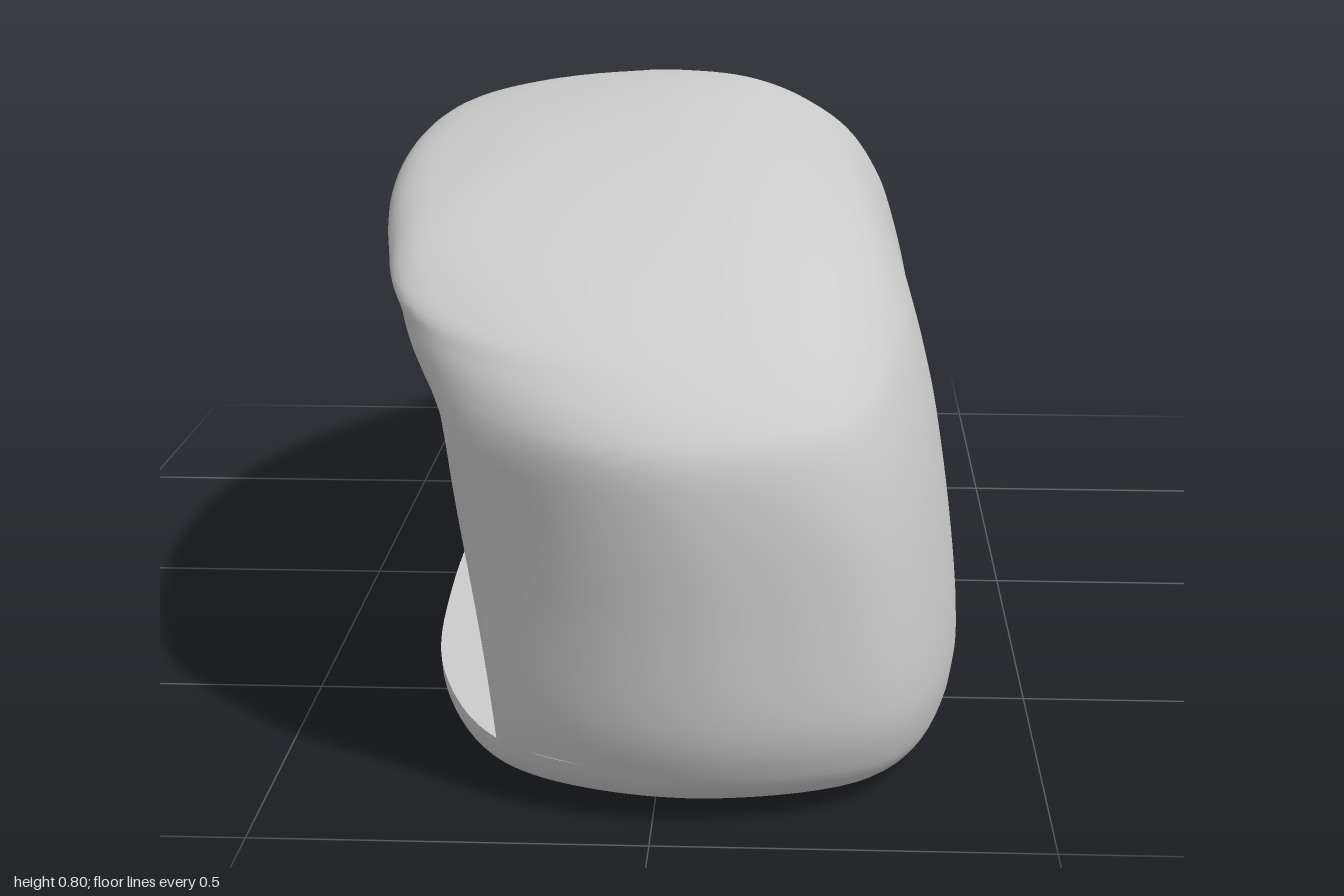
import * as THREE from 'three';
import { toCreasedNormals } from 'three/addons/utils/BufferGeometryUtils.js';
import { RoundedBoxGeometry } from 'three/addons/geometries/RoundedBoxGeometry.js';

const material = new THREE.MeshStandardMaterial({ color: 0xcccccc, side: THREE.DoubleSide });
const { lerp, smoothstep } = THREE.MathUtils;

function add(parent, name, geometry, x, y, z) {
  const mesh = new THREE.Mesh(geometry, material);
  mesh.name = name;
  mesh.position.set(x, y, z);
  parent.add(mesh);
  return mesh;
}

// Shell levels: height, front z, back z, right x, left x
const LEVELS = [
  [0.0, 0.77, -0.77, 0.30, -0.30],
  [0.01, 0.87, -0.86, 0.35, -0.325],
  [0.035, 0.925, -0.91, 0.372, -0.337],
  [0.075, 0.955, -0.93, 0.384, -0.34],
  [0.15, 0.978, -0.935, 0.388, -0.34],
  [0.30, 0.99, -0.965, 0.374, -0.34],
  [0.45, 1.0, -0.99, 0.352, -0.345],
  [0.57, 1.0, -1.0, 0.322, -0.355],
  [0.63, 0.98, -0.98, 0.297, -0.368],
  [0.68, 0.94, -0.945, 0.265, -0.386],
  [0.72, 0.885, -0.895, 0.223, -0.402],
  [0.76, 0.77, -0.79, 0.158, -0.37],
  [0.785, 0.57, -0.61, 0.09, -0.27],
  [0.797, 0.3, -0.33, 0.01, -0.15],
  [0.80, 0.06, -0.06, -0.04, -0.07],
];
const FLOOR = 3, STEPS = 5;

// Smooth interpolation between the levels
function levelAt(u) {
  const i = Math.min(Math.floor(u), LEVELS.length - 2), t = u - i;
  const row = k => LEVELS[Math.max(0, Math.min(LEVELS.length - 1, k))];
  const [a, b, c, d] = [row(i - 1), row(i), row(i + 1), row(i + 2)];
  return b.map((p, k) => p + 0.5 * t * (c[k] - a[k] + t * (2 * a[k] - 5 * p + 4 * c[k] - d[k]
    + t * (3 * (p - c[k]) + d[k] - a[k]))));
}

// One horizontal section: outer wall, then the open side
function section(u, isFloor) {
  const [v, zf, zb, xr, xl] = levelAt(u);
  const m = (xr + xl) / 2, h = (xr - xl) / 2;
  const rim = smoothstep(v, 0, 0.5);
  const outer = [
    [m - 0.28 * h, 0.975 * zf], [m + 0.2 * h, zf], [m + 0.74 * h, 0.92 * zf], [xr, 0.66 * zf], [xr, 0],
    [xr - 0.02 * h, 0.55 * zb], [m + 0.82 * h, 0.83 * zb], [m + 0.38 * h, zb], [m + 0.19 * h, 0.975 * zb],
  ];
  const k = isFloor ? [0.46, 0.8, 0.98] : [0.18, 0.52, 0.87];
  const edge = [
    [m - k[0] * h, 0.8 * zb], [m - k[1] * h, 0.57 * zb], [m - k[2] * h, 0.2 * zb],
    [xl, 0.3 * zf], [m - 0.9 * h, 0.65 * zf],
  ];
  const cavity = [
    [m + 0.34 * h, zb + 0.14], [xr - 0.06, 0.6 * zb], [xr - 0.06, 0],
    [xr - 0.08, 0.75 * zf], [m + 0.1 * h, zf - 0.1],
  ];
  // The cavity vaults over into the roof lip, closing first at the front
  const frontClose = smoothstep(v, 0.38, 0.66);
  const sideClose = smoothstep(v, 0.5, 0.69);
  const open = edge.map((e, i) => {
    const t = isFloor ? 1 : i === 4 ? frontClose : sideClose;
    return e.map((value, axis) => lerp(cavity[i][axis], value, t));
  });
  const backRim = [m - 0.02 * h, 0.925 * zb];
  const frontRim = [m - lerp(0.62, 0.74, rim) * h, lerp(0.89, 0.85, rim) * zf];
  const points = [...outer, backRim, ...open, frontRim].map(([x, z]) => new THREE.Vector3(x, v, z));
  const curve = new THREE.CatmullRomCurve3(points, true);
  // Equal samples per span keep the rings aligned
  const count = points.length * 8;
  const ring = Array.from({ length: count }, (_, i) => curve.getPoint(i / count));
  // The whole shell droops towards both ends
  ring.forEach(p => { p.y = v - 0.18 * p.z * p.z * (v / 0.8) ** 2; });
  return ring;
}

function shellGeometry() {
  const rings = [];
  const last = (LEVELS.length - 1) * STEPS;
  for (let i = 0; i <= FLOOR * STEPS; i++) rings.push(section(i / STEPS, true));
  for (let i = FLOOR * STEPS; i <= last; i++) rings.push(section(i / STEPS, false));
  // Close bottom and top with collapsed rings
  const collapse = (ring, x) => ring.map(() => new THREE.Vector3(x, ring[0].y, 0));
  rings.unshift(collapse(rings[0], 0));
  rings.push(collapse(rings[rings.length - 1], -0.055));

  const n = rings[0].length, index = [];
  for (let i = 0; i < rings.length - 1; i++) {
    for (let j = 0; j < n; j++) {
      const a = i * n + j, b = i * n + (j + 1) % n;
      index.push(a, b, b + n, a, b + n, a + n);
    }
  }
  const geometry = new THREE.BufferGeometry().setFromPoints(rings.flat());
  geometry.setIndex(index);
  return toCreasedNormals(geometry, 0.9);
}

// Padded armchair facing its own +z
function chair(name, x, z, angle, scale) {
  const group = new THREE.Group();
  group.name = name;
  const box = (w, h, d, r) => new RoundedBoxGeometry(w, h, d, 4, r);
  add(group, 'seatBase', box(0.38, 0.1, 0.28, 0.03), 0, 0.05, 0);
  add(group, 'backrest', box(0.36, 0.36, 0.18, 0.085), 0, 0.21, -0.05);
  add(group, 'cushion', box(0.28, 0.24, 0.14, 0.065), 0, 0.18, 0.04);
  add(group, 'footRail', box(0.28, 0.03, 0.05, 0.012), 0, 0.015, 0.17);
  for (const side of [-1, 1]) add(group, 'armBlock', box(0.08, 0.07, 0.08, 0.02), side * 0.18, 0.035, 0.16);
  group.position.set(x, 0.07, z);
  group.rotation.y = angle;
  group.scale.setScalar(scale);
  return group;
}

// Round piece with softened rims
function drumGeometry(r, h) {
  const profile = [[0, 0], [r, 0], [r * 0.93, h * 0.5], [r * 0.95, h * 0.9], [r * 0.8, h], [0, h]];
  return toCreasedNormals(new THREE.LatheGeometry(profile.map(p => new THREE.Vector2(...p)), 24), 0.6);
}

export function createModel() {
  const model = new THREE.Group();
  model.name = 'openPod';
  add(model, 'shell', shellGeometry(), 0, 0, 0);

  // Main seating cluster
  model.add(chair('mainChair', -0.04, 0.27, -Math.PI * 0.78, 0.95));
  model.add(chair('sideChair', 0.16, 0.16, Math.PI * 0.85, 0.78));
  add(model, 'drum', drumGeometry(0.085, 0.36), -0.06, 0.07, 0.56);

  // Small stool with a low round back
  const stool = new THREE.Group();
  stool.name = 'stool';
  add(stool, 'stoolSeat', drumGeometry(0.06, 0.07), 0, 0, 0);
  add(stool, 'stoolBack', new THREE.SphereGeometry(0.045, 16, 12), 0.03, 0.09, 0.02);
  stool.position.set(-0.17, 0.07, 0.57);
  model.add(stool);

  // Small rear seating cluster
  model.add(chair('rearChair', 0.02, -0.61, -Math.PI * 0.5, 0.5));
  model.add(chair('rearSideChair', 0.12, -0.65, -Math.PI * 0.85, 0.5));
  return model;
}
